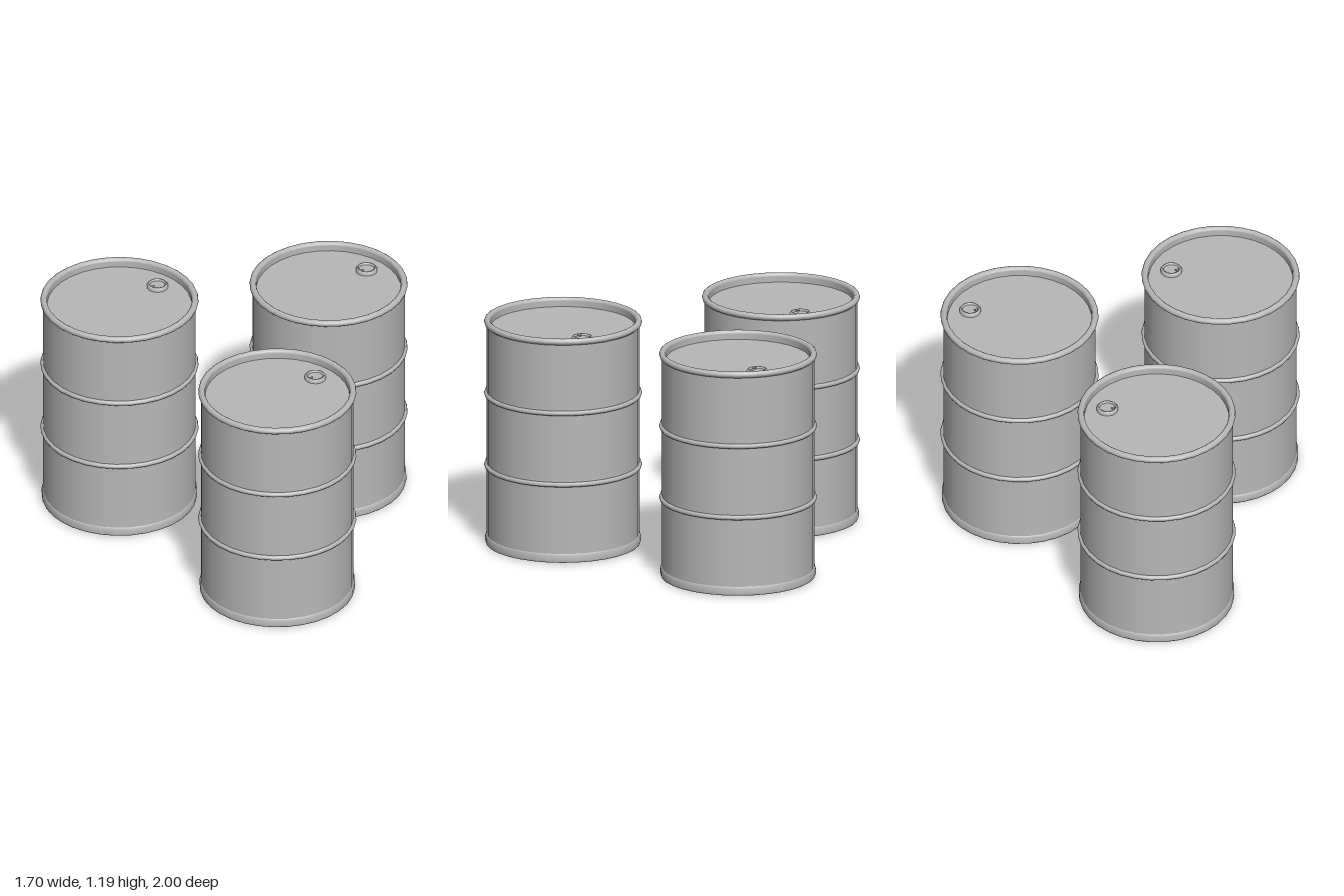
import * as THREE from 'three';

const SEGMENTS = 32;

function lathe(points) {
  return new THREE.LatheGeometry(points.map(([r, y]) => new THREE.Vector2(r, y)), SEGMENTS);
}

function ring(radius, tube, y, sides = 8, segments = SEGMENTS) {
  return new THREE.TorusGeometry(radius, tube, sides, segments).rotateX(Math.PI / 2).translate(0, y, 0);
}

function disc(radius, y, up = true, segments = SEGMENTS) {
  return new THREE.CircleGeometry(radius, segments).rotateX(up ? -Math.PI / 2 : Math.PI / 2).translate(0, y, 0);
}

function createDrum(steel) {
  const drum = new THREE.Group();
  const add = (name, geometry, parent = drum) => {
    const mesh = new THREE.Mesh(geometry, steel);
    mesh.name = name;
    parent.add(mesh);
    return mesh;
  };

  // Shell and rolled hoops
  add('shell', lathe([[0.388, 0.04], [0.388, 1.17]]));
  for (const y of [0.415, 0.792]) add('hoop', ring(0.389, 0.013, y));

  // Foot with a softened lower edge
  add('foot', lathe([[0.374, 0], [0.393, 0.005], [0.395, 0.012], [0.395, 0.042], [0.387, 0.051]]));
  add('bottom', disc(0.374, 0, false));

  // Top rim and recessed lid
  add('rim', ring(0.385, 0.017, 1.169, 10));
  add('rimInnerWall', lathe([[0.368, 1.17], [0.368, 1.14]]));
  add('lid', disc(0.37, 1.14));

  // Filler plug: raised collar, cap and a small notch tab
  const plug = new THREE.Group();
  plug.name = 'fillerPlug';
  plug.position.set(0.26, 1.14, 0);
  drum.add(plug);
  add('plugCollar', lathe([[0.054, 0], [0.054, 0.012], [0.048, 0.021], [0.042, 0.021], [0.039, 0.01]]), plug);
  add('plugCap', disc(0.041, 0.011, true, SEGMENTS), plug);
  const tab = add('plugTab', new THREE.CylinderGeometry(0.012, 0.012, 0.008, 3), plug);
  tab.position.set(-0.032, 0.014, 0);
  tab.rotation.y = Math.PI / 2;
  return drum;
}

export function createModel() {
  const model = new THREE.Group();
  model.name = 'drums';
  const steel = new THREE.MeshStandardMaterial({ color: 0xb8b8b8 });
  steel.name = 'grey steel';

  // Three drums in a triangle
  const places = { backDrum: [-0.446, -0.597], frontDrum: [-0.446, 0.597], sideDrum: [0.446, 0] };
  for (const [name, [x, z]] of Object.entries(places)) {
    const drum = createDrum(steel);
    drum.name = name;
    drum.position.set(x, 0, z);
    model.add(drum);
  }
  return model;
}
